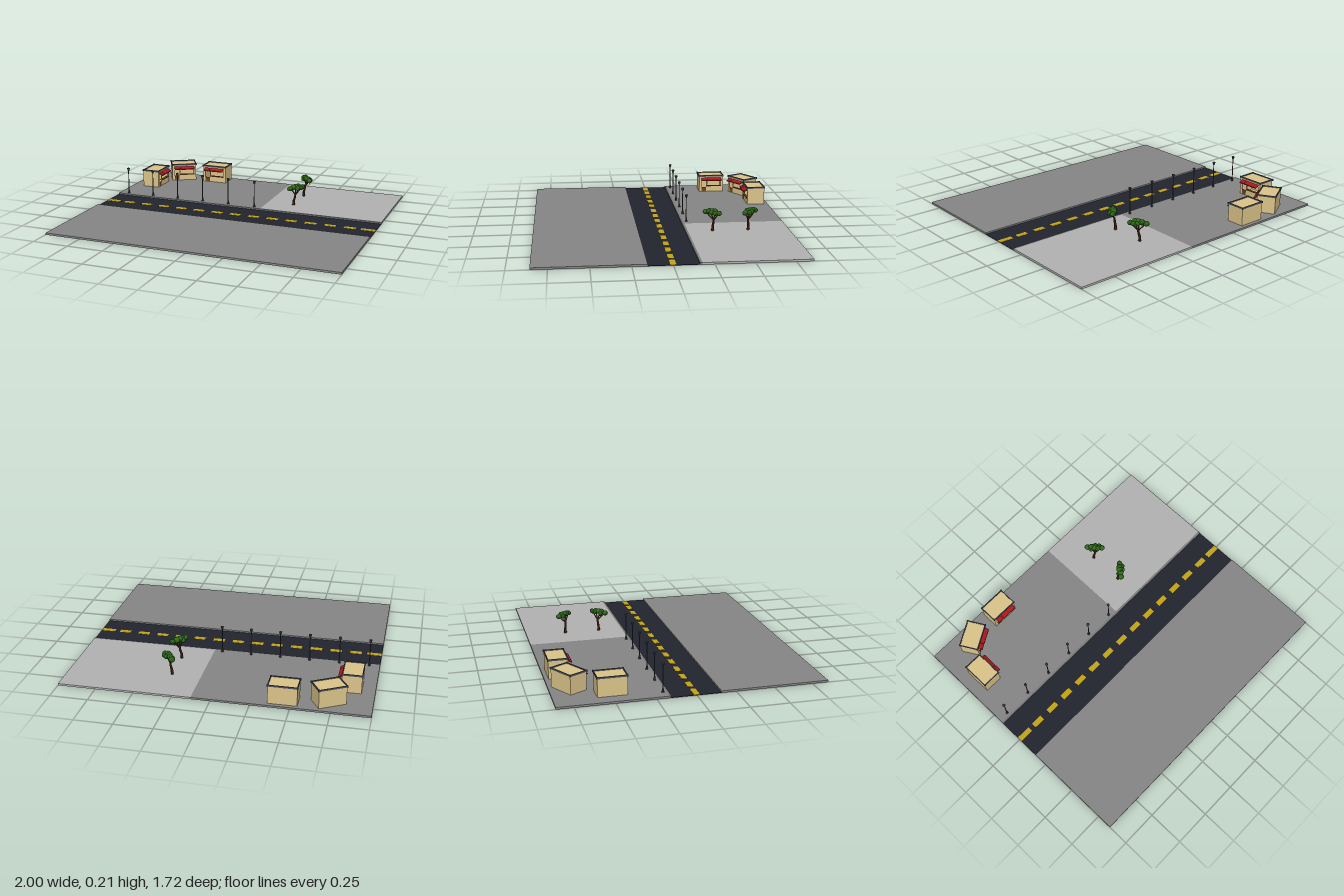
import * as THREE from 'three';

const mat = (color, extra = {}) => new THREE.MeshStandardMaterial({ color, ...extra });
const M = {
  pavement: mat(0x868686), plaza: mat(0xb2b2b2), curb: mat(0x7c7c7c), road: mat(0x22252e),
  yellow: mat(0xc4a414), wall: mat(0xdcc58a), trim: mat(0x4a5060), red: mat(0xa81a20),
  wood: mat(0x6b4420), lamp: mat(0x3c3f44), bark: mat(0x4f2c18, { flatShading: true }),
  leaf: mat(0x2f6a1a, { flatShading: true }),
};
const GROUND = 0.013;

function add(parent, name, geometry, material, x = 0, y = 0, z = 0) {
  const mesh = new THREE.Mesh(geometry, material);
  mesh.name = name;
  mesh.position.set(x, y, z);
  parent.add(mesh);
  return mesh;
}

// Box given by its minimum and maximum on each axis
function span(parent, name, material, x0, x1, y0, y1, z0, z1) {
  return add(parent, name, new THREE.BoxGeometry(x1 - x0, y1 - y0, z1 - z0), material,
    (x0 + x1) / 2, (y0 + y1) / 2, (z0 + z1) / 2);
}

function rect(path, x0, x1, y0, y1) {
  path.moveTo(x0, y0);
  path.lineTo(x1, y0);
  path.lineTo(x1, y1);
  path.lineTo(x0, y1);
  path.closePath();
  return path;
}

function createGround() {
  const g = new THREE.Group();
  g.name = 'ground';
  span(g, 'frontPavement', M.pavement, -1, 1, 0, GROUND, 0.155, 0.855);
  span(g, 'backPavement', M.pavement, -1, 0.125, 0, GROUND, -0.86, -0.175);
  span(g, 'plaza', M.plaza, 0.125, 1, 0, GROUND, -0.86, -0.175);
  span(g, 'curb', M.curb, -1, 1, 0, GROUND, -0.175, -0.16);
  span(g, 'road', M.road, -1, 1, 0, 0.003, -0.16, 0.155);
  // Centre line, with longer dashes at both ends
  for (let i = -6; i <= 6; i++) {
    const x = i * 0.1375;
    span(g, 'roadDash', M.yellow, x - 0.04, x + 0.04, 0.003, 0.0045, -0.018, 0.018);
  }
  for (const s of [-1, 1]) {
    span(g, 'endDash', M.yellow, s * 0.95 - 0.05, s * 0.95 + 0.05, 0.003, 0.0045, -0.018, 0.018);
  }
  return g;
}

function createShop(x, z, turn) {
  const g = new THREE.Group();
  g.name = 'shop';
  g.position.set(x, GROUND, z);
  g.rotation.y = turn;
  const w = 0.093, d = 0.063, h = 0.122, t = 0.005;

  // Shell
  span(g, 'floor', M.wall, -w, w, 0, 0.003, -d, d);
  span(g, 'backWall', M.wall, -w, w, 0, h, -d, -d + t);
  for (const s of [-1, 1]) {
    span(g, 'sideWall', M.wall, s * (w - t / 2) - t / 2, s * (w - t / 2) + t / 2, 0, h, -d, d);
  }
  span(g, 'roof', M.wall, -w, w, h - 0.004, h, -d, d);

  // Front wall with door and window openings
  const front = rect(new THREE.Shape(), -w, w, 0, h);
  front.holes.push(rect(new THREE.Path(), -0.074, -0.038, 0.003, 0.093));
  front.holes.push(rect(new THREE.Path(), -0.03, 0.074, 0.044, 0.093));
  add(g, 'frontWall', new THREE.ExtrudeGeometry(front, { depth: t, bevelEnabled: false }),
    M.wall, 0, 0, d - t);
  span(g, 'halfDoor', M.wood, -0.074, -0.038, 0.003, 0.034, d - 0.004, d - 0.001);
  span(g, 'counter', M.wood, -0.034, 0.078, 0.041, 0.046, d - 0.014, d + 0.006);

  // Sloping awnings over the door and the window
  const profile = new THREE.Shape();
  profile.moveTo(0, 0.109);
  profile.lineTo(0.028, 0.095);
  profile.lineTo(0.028, 0.088);
  profile.lineTo(0, 0.102);
  for (const [a, b] of [[-0.077, -0.038], [-0.034, 0.077]]) {
    const awning = new THREE.ExtrudeGeometry(profile, { depth: b - a, bevelEnabled: false });
    awning.rotateY(-Math.PI / 2);
    add(g, 'awning', awning, M.red, b, 0, d);
  }

  // Roof rim and corner caps
  for (const s of [-1, 1]) {
    add(g, 'roofRim', new THREE.BoxGeometry(2 * w + 0.006, 0.011, 0.006), M.trim, 0, h + 0.001, s * d);
    add(g, 'roofRim', new THREE.BoxGeometry(0.006, 0.011, 2 * d + 0.006), M.trim, s * w, h + 0.001, 0);
    for (const e of [-1, 1]) {
      add(g, 'rimCorner', new THREE.BoxGeometry(0.01, 0.013, 0.01), M.trim, s * w, h + 0.001, e * d);
    }
  }
  return g;
}

function createLamp(x) {
  // Turned post: base, slim pole, flared head and cap
  const points = [[0, 0], [0.009, 0], [0.009, 0.004], [0.006, 0.007], [0.006, 0.022], [0.0035, 0.027],
    [0.003, 0.168], [0.006, 0.17], [0.0105, 0.186], [0.0105, 0.189], [0, 0.194]];
  const geometry = new THREE.LatheGeometry(points.map(p => new THREE.Vector2(...p)), 10);
  const lamp = new THREE.Mesh(geometry, mat(0x3c3f44, { flatShading: true }));
  lamp.name = 'streetLamp';
  lamp.position.set(x, GROUND, -0.195);
  return lamp;
}

// Tapered limb following a curve
function addLimb(parent, name, points, r0, r1) {
  const curve = new THREE.CatmullRomCurve3(points.map(p => new THREE.Vector3(...p)));
  const segments = 6, sides = 6;
  const geometry = new THREE.TubeGeometry(curve, segments, 1, sides, false);
  const pos = geometry.attributes.position, v = new THREE.Vector3();
  for (let i = 0; i < pos.count; i++) {
    const k = Math.floor(i / (sides + 1)) / segments;
    const c = curve.getPointAt(k);
    v.fromBufferAttribute(pos, i).sub(c).multiplyScalar(r0 + (r1 - r0) * k).add(c);
    pos.setXYZ(i, v.x, v.y, v.z);
  }
  add(parent, name, geometry, M.bark);
}

function createTree(x, z, flip) {
  const g = new THREE.Group();
  g.name = 'tree';
  g.position.set(x, GROUND, z);
  g.scale.setScalar(1);
  addLimb(g, 'trunk', [[0, 0, 0], [0.001, 0.03, 0], [0.009, 0.06, flip * 0.003], [0.012, 0.09, flip * 0.005]], 0.010, 0.006);
  const tips = [[-0.012, 0.128, -0.043], [0.012, 0.133, -0.012], [0.032, 0.128, 0.012], [0.05, 0.13, 0.033]];
  for (const [a, b, c] of tips) {
    addLimb(g, 'branch', [[0.01, 0.075, flip * 0.004], [0.01 + a * 0.4, 0.1, flip * c * 0.5], [a, b, flip * c]], 0.005, 0.003);
  }
  // Leaf clumps: x, y, z, radius
  const clumps = [[-0.014, 0.13, -0.046, 0.021], [0.004, 0.138, -0.026, 0.021], [-0.008, 0.126, -0.014, 0.017],
    [0.014, 0.139, -0.004, 0.022], [0.031, 0.131, -0.014, 0.019], [0.028, 0.137, 0.014, 0.022],
    [0.05, 0.13, 0.006, 0.018], [0.052, 0.131, 0.033, 0.020]];
  clumps.forEach(([a, b, c, r], i) => {
    const leaf = add(g, 'leafClump', new THREE.IcosahedronGeometry(r, 1), M.leaf, a, b, flip * c);
    leaf.rotation.set(i, i * 2, 0);
    leaf.scale.y = 0.85;
  });
  return g;
}

export function createModel() {
  const model = new THREE.Group();
  model.name = 'streetScene';
  model.add(createGround());
  model.add(createShop(-0.45, -0.77, 0));
  model.add(createShop(-0.725, -0.735, Math.PI / 6));
  model.add(createShop(-0.852, -0.502, Math.PI / 2));
  for (let i = 0; i < 6; i++) model.add(createLamp(-0.93 + i * 0.2));
  model.add(createTree(0.318, -0.583, 1));
  model.add(createTree(0.318, -0.342, -1));
  return model;
}
